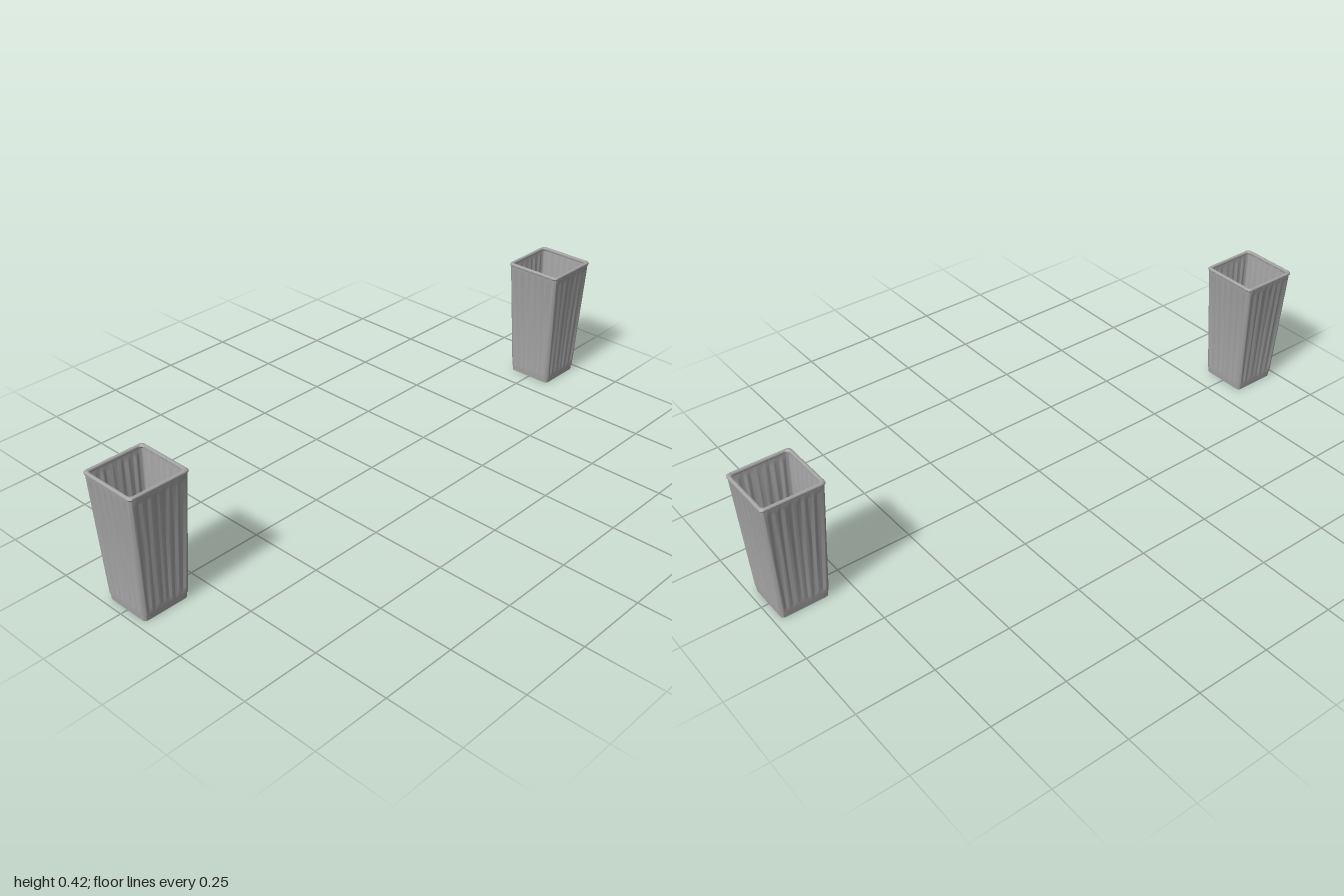
import * as THREE from 'three';
import { toCreasedNormals } from 'three/addons/utils/BufferGeometryUtils.js';

const RIBS = 6, SIDE_STEPS = 48, CORNER_STEPS = 6;

// One rounded-square loop; ribs are shallow waves pressed into each flat side.
function ring([half, y, amp], out) {
  const r = 0.011, flat = half - r;
  for (let k = 0; k < 4; k++) {
    const a = k * Math.PI / 2, c = Math.cos(a), s = Math.sin(a);
    const put = (n, t) => out.push(n * c - t * s, y, n * s + t * c);
    for (let i = 0; i <= SIDE_STEPS; i++) {
      const u = i / SIDE_STEPS;
      put(half - amp * (1 - Math.cos(u * RIBS * Math.PI * 2)) / 2, (u * 2 - 1) * flat);
    }
    for (let i = 1; i < CORNER_STEPS; i++) {
      const b = i / CORNER_STEPS * Math.PI / 2;
      put(flat + r * Math.cos(b), flat + r * Math.sin(b));
    }
  }
}

// Joins a closed list of sections [half width, height, rib depth] into a skin.
function loft(sections) {
  const pos = [], index = [];
  sections.forEach(s => ring(s, pos));
  const n = pos.length / 3 / sections.length, m = sections.length;
  for (let j = 0; j < m; j++) {
    for (let i = 0; i < n; i++) {
      const i2 = (i + 1) % n, j2 = (j + 1) % m;
      const a = j * n + i, b = j2 * n + i, c = j * n + i2, d = j2 * n + i2;
      index.push(a, b, c, c, b, d);
    }
  }
  const g = new THREE.BufferGeometry();
  g.setAttribute('position', new THREE.Float32BufferAttribute(pos, 3));
  g.setIndex(index);
  return toCreasedNormals(g, 0.6);
}

export function createModel() {
  const grey = new THREE.MeshStandardMaterial({ color: 0xa3a3a3 });
  grey.name = 'grey plastic';

  // Tapered ribbed wall with a plain stepped foot, open at both ends
  const outer = [
    [0.0765, 0, 0], [0.0775, 0.018, 0], [0.079, 0.019, 0], [0.0795, 0.027, 0],
    [0.0802, 0.04, 0.0035], [0.0885, 0.22, 0.0035], [0.0962, 0.385, 0.0035],
    [0.0968, 0.398, 0], [0.0972, 0.412, 0],
  ];
  const inner = outer.map(([h, y, amp]) => [h - 0.003, y, amp]).reverse();
  const wallGeometry = loft([...outer, ...inner]);

  // Round bead around the mouth
  const bead = [];
  for (let i = 0; i < 12; i++) {
    const a = i / 12 * Math.PI * 2;
    bead.push([0.094 + 0.006 * Math.cos(a), 0.414 + 0.006 * Math.sin(a), 0]);
  }
  const rimGeometry = loft(bead);

  const model = new THREE.Group();
  model.name = 'pairOfBins';
  for (const [name, z] of [['frontBin', 0.9], ['backBin', -0.9]]) {
    const bin = new THREE.Group();
    bin.name = name;
    bin.position.z = z;
    const wall = new THREE.Mesh(wallGeometry, grey);
    wall.name = 'ribbedWall';
    const rim = new THREE.Mesh(rimGeometry, grey);
    rim.name = 'rim';
    bin.add(wall, rim);
    model.add(bin);
  }
  return model;
}
